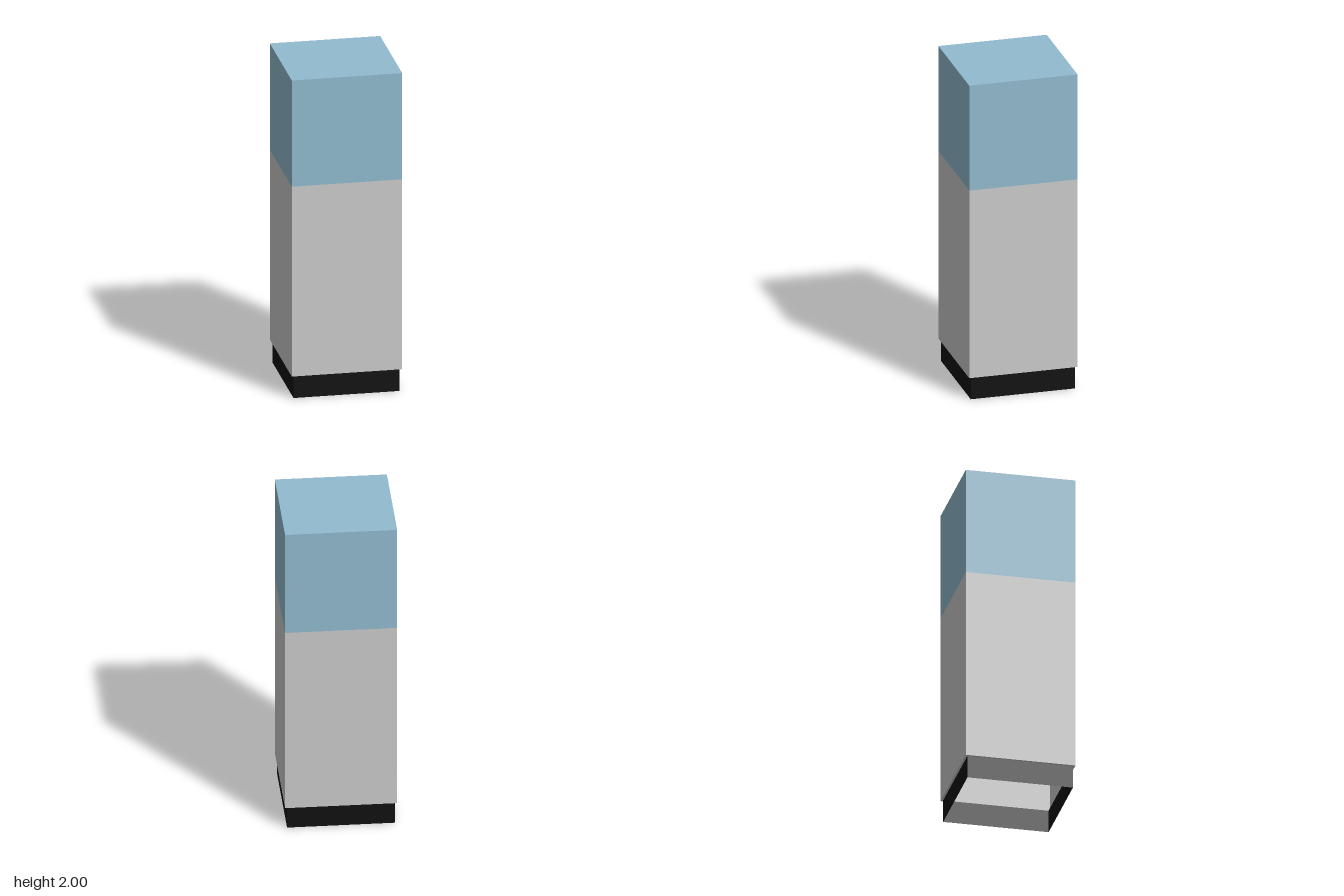
import * as THREE from 'three';

const HALF = 0.333;      // half width of the column
const BASE_HALF = 0.32;  // half width of the recessed base
const BASE_TOP = 0.14;
const CAP_BOTTOM = 1.333;
const TOP = 2;

function material(color) {
  return new THREE.MeshStandardMaterial({ color, flatShading: true, side: THREE.DoubleSide });
}

// Four thin walls of a square tube, open at both ends
function squareTube(name, half, y0, y1, mat) {
  const r = half * Math.SQRT2;
  const geo = new THREE.CylinderGeometry(r, r, y1 - y0, 4, 1, true);
  geo.rotateY(Math.PI / 4);
  geo.translate(0, (y0 + y1) / 2, 0);
  const mesh = new THREE.Mesh(geo, mat);
  mesh.name = name;
  return mesh;
}

export function createModel() {
  const group = new THREE.Group();
  group.name = 'squareColumn';
  const black = material(0x111111);
  const grey = material(0xcccccc);
  const blue = material(0x91bbcf);

  group.add(
    squareTube('base', BASE_HALF, 0, BASE_TOP, black),
    squareTube('body', HALF, BASE_TOP, CAP_BOTTOM, grey),
    squareTube('capWalls', HALF, CAP_BOTTOM, TOP, blue)
  );

  // Narrow lip joining the body to the recessed base, facing down
  const lipGeo = new THREE.RingGeometry(BASE_HALF * Math.SQRT2, HALF * Math.SQRT2, 4, 1, Math.PI / 4);
  lipGeo.rotateX(Math.PI / 2);
  const lip = new THREE.Mesh(lipGeo, grey);
  lip.name = 'bodyLip';
  lip.position.y = BASE_TOP;

  // Flat top closing the cap
  const topGeo = new THREE.PlaneGeometry(HALF * 2, HALF * 2);
  topGeo.rotateX(-Math.PI / 2);
  const top = new THREE.Mesh(topGeo, blue);
  top.name = 'capTop';
  top.position.y = TOP;

  group.add(lip, top);
  return group;
}
